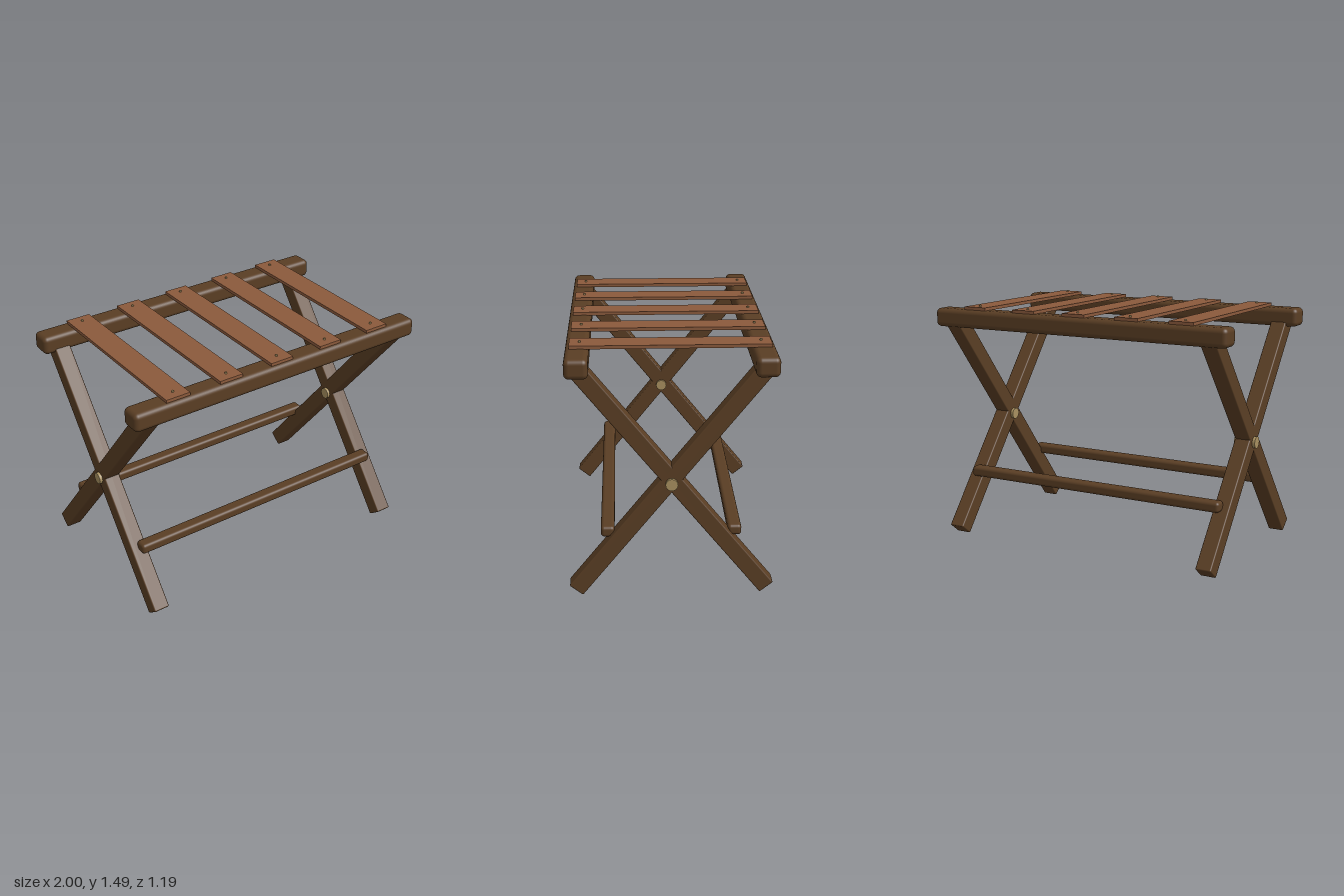
import * as THREE from 'three';
import { RoundedBoxGeometry } from 'three/addons/geometries/RoundedBoxGeometry.js';

export function createModel() {
  const group = new THREE.Group();
  const material = (name, hex) => {
    const m = new THREE.MeshStandardMaterial({ color: hex });
    m.name = name;
    return m;
  };
  const wood = material('dark wood', 0x5a3e24);
  const leather = material('leather', 0x8b5a3c);
  const brass = material('brass', 0xa89060);

  const add = (name, geometry, mat, x, y, z) => {
    const mesh = new THREE.Mesh(geometry, mat);
    mesh.name = name;
    mesh.position.set(x, y, z);
    group.add(mesh);
    return mesh;
  };

  // Legs run from the floor through the crossing up into the rails
  const crossY = 0.73, angle = 0.677, below = 0.894, above = 0.86;
  const legGeo = new RoundedBoxGeometry(0.1, below + above, 0.1, 2, 0.008);
  legGeo.translate(0, (above - below) / 2, 0);
  const pivotGeo = new THREE.CylinderGeometry(0.036, 0.036, 0.135, 16).rotateZ(Math.PI / 2);

  for (const side of [-1, 1]) {
    for (const lean of [-1, 1]) {
      add('leg', legGeo, wood, side * 0.88, crossY, 0).rotation.x = lean * angle;
    }
    add('pivot', pivotGeo, brass, side * 0.88, 0.706, 0);
  }

  // Top rails and lower stretchers, front and back
  const railGeo = new RoundedBoxGeometry(2, 0.115, 0.135, 4, 0.03);
  const stretcherGeo = new RoundedBoxGeometry(1.77, 0.065, 0.08, 4, 0.02);
  for (const z of [-1, 1]) {
    add('topRail', railGeo, wood, 0, 1.412, z * 0.527);
    add('stretcher', stretcherGeo, wood, 0, 0.386, z * 0.37);
  }

  // Leather straps, each with a small stud at both ends
  const strapGeo = new THREE.BoxGeometry(0.155, 0.02, 1.14);
  const studGeo = new THREE.CylinderGeometry(0.007, 0.008, 0.012, 10);
  for (let i = -2; i <= 2; i++) {
    const x = i * 0.355;
    add('strap', strapGeo, leather, x, 1.478, 0);
    for (const z of [-1, 1]) add('stud', studGeo, brass, x, 1.491, z * 0.512);
  }

  return group;
}
